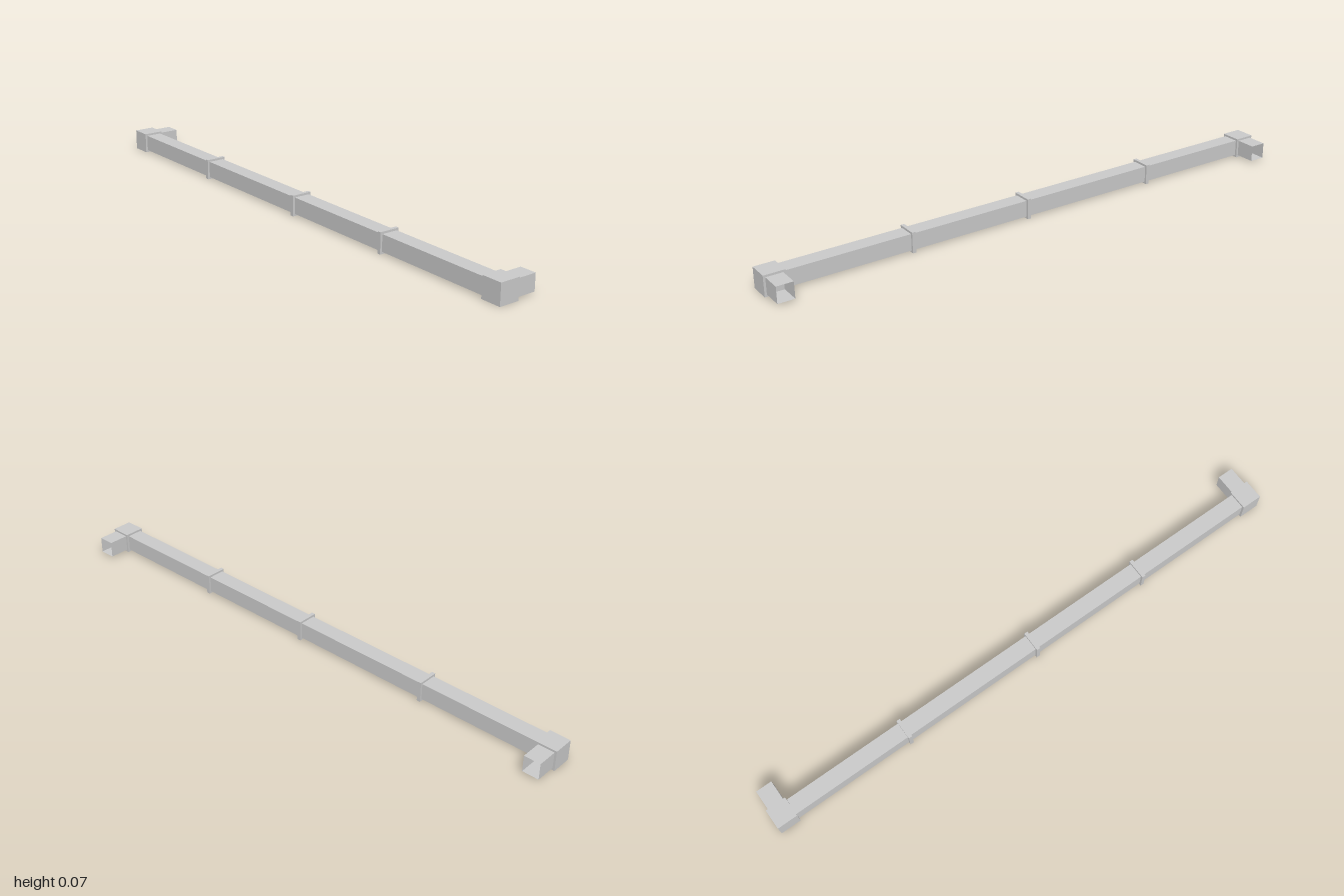
import * as THREE from 'three';

const FITTING = 0.073; // outer size of elbows and joint collars
const DUCT = 0.058; // outer size of the thin-walled duct
const CENTRE = FITTING / 2; // height and depth of the duct axis

const material = new THREE.MeshStandardMaterial({
  color: 0xcccccc, flatShading: true, side: THREE.DoubleSide,
});

function addPart(group, name, geometry, x, y, z) {
  const mesh = new THREE.Mesh(geometry, material);
  mesh.name = name;
  mesh.position.set(x, y, z);
  group.add(mesh);
}

// Square thin-walled tube, open at both ends, running along y
function squareTube(size, length) {
  const r = size / Math.SQRT2;
  return new THREE.CylinderGeometry(r, r, length, 4, 1, true).rotateY(Math.PI / 4);
}

// Square flange with a hole for the duct, facing along x
function collarGeometry(width) {
  const square = (path, size) => {
    const h = size / 2;
    path.moveTo(-h, -h);
    path.lineTo(h, -h);
    path.lineTo(h, h);
    path.lineTo(-h, h);
    path.closePath();
    return path;
  };
  const shape = square(new THREE.Shape(), FITTING);
  shape.holes.push(square(new THREE.Path(), DUCT));
  return new THREE.ExtrudeGeometry(shape, { depth: width, bevelEnabled: false })
    .translate(0, 0, -width / 2)
    .rotateY(Math.PI / 2);
}

export function createModel() {
  const group = new THREE.Group();
  group.name = 'ductRun';

  // Long straight duct between the elbows
  const elbowX = 1 - FITTING / 2;
  addPart(group, 'mainDuct', squareTube(DUCT, 2 * elbowX - FITTING).rotateZ(Math.PI / 2), 0, CENTRE, CENTRE);

  // Joint collars, unevenly spaced
  for (const x of [-0.487, 0.034, 0.483]) {
    addPart(group, 'jointCollar', collarGeometry(0.013), x, CENTRE, CENTRE);
  }

  // Elbow box and open outlet pointing backwards at each end
  for (const side of [-1, 1]) {
    const name = side > 0 ? 'left' : 'right';
    addPart(group, name + 'Elbow', new THREE.BoxGeometry(FITTING, FITTING, FITTING), side * elbowX, CENTRE, CENTRE);
    addPart(group, name + 'Outlet', squareTube(DUCT, FITTING).rotateX(Math.PI / 2), side * elbowX, CENTRE, -FITTING / 2);
  }
  return group;
}
